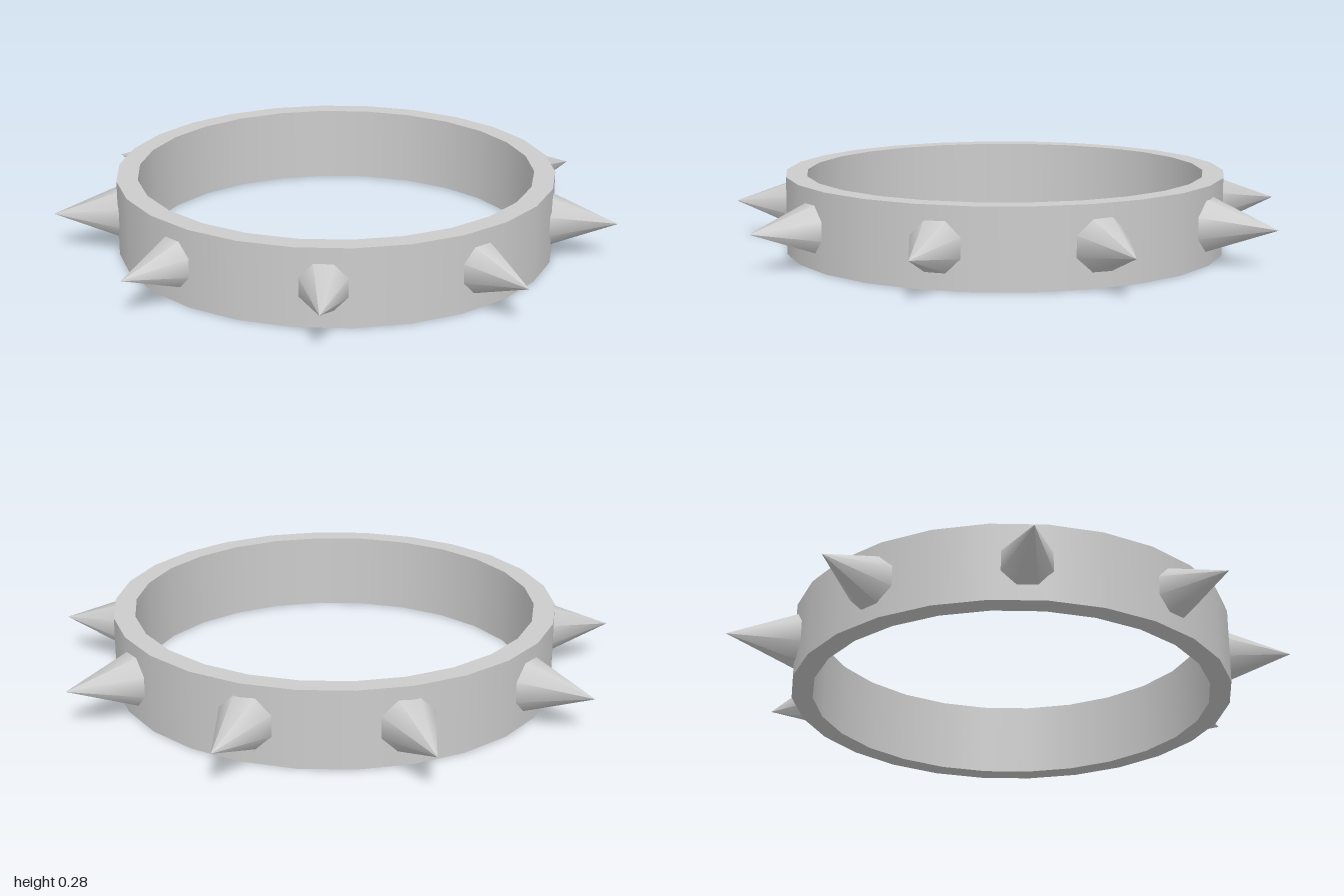
import * as THREE from 'three';
import { mergeGeometries } from 'three/addons/utils/BufferGeometryUtils.js';

const SIDES = 26, SPIKES = 9;
const HEIGHT = 0.275, OUTER = 0.785, INNER = 0.71;

export function createModel() {
  const model = new THREE.Group();
  const material = new THREE.MeshStandardMaterial({ color: 0xcccccc });

  // Band: one lathe per profile edge, so walls are smooth and rims stay sharp
  const profile = [[OUTER, 0], [OUTER, HEIGHT], [INNER, HEIGHT], [INNER, 0]]
    .map(([r, y]) => new THREE.Vector2(r, y));
  const faces = profile.map((p, i) =>
    new THREE.LatheGeometry([p, profile[(i + 1) % 4]], SIDES, Math.PI / SIDES));
  const band = new THREE.Mesh(mergeGeometries(faces), material);
  band.name = 'band';
  band.position.z = -0.0225;
  model.add(band);

  // Spikes: eight-sided cones sunk slightly into the band, pointing outward
  const base = 0.75, tip = 1.012;
  const cone = new THREE.ConeGeometry(0.103, tip - base, 8, 1, false, Math.PI / 8);
  cone.rotateX(Math.PI / 2);
  cone.translate(0, 0, (base + tip) / 2);

  const spikes = new THREE.Group();
  spikes.name = 'spikes';
  spikes.position.set(0, 0.14, -0.036);
  for (let i = 0; i < SPIKES; i++) {
    const spike = new THREE.Mesh(cone, material);
    spike.name = `spike${i + 1}`;
    spike.rotation.y = (i / SPIKES) * Math.PI * 2;
    spikes.add(spike);
  }
  model.add(spikes);
  return model;
}
